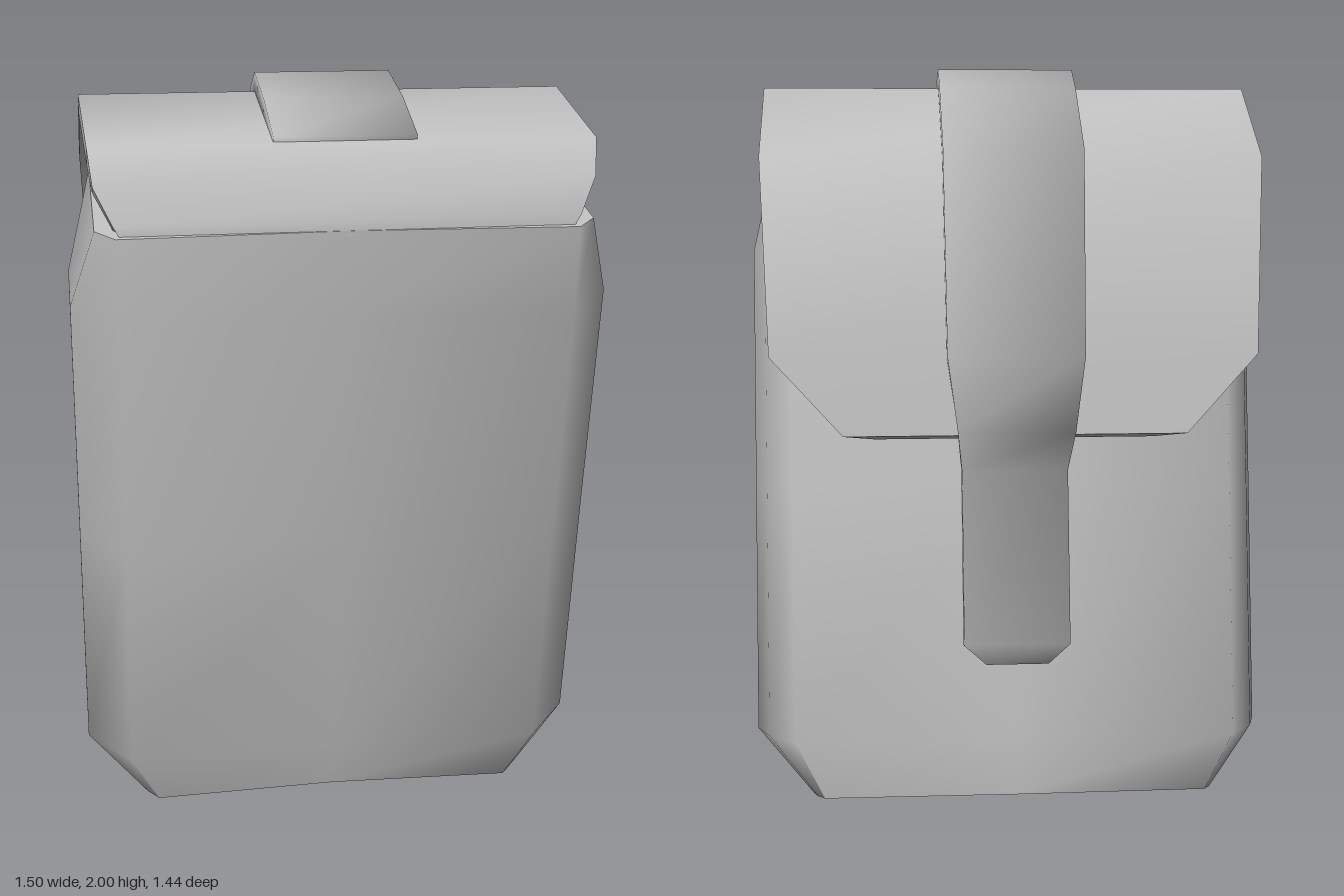
import * as THREE from 'three';
import { toCreasedNormals } from 'three/addons/utils/BufferGeometryUtils.js';

const canvas = new THREE.MeshStandardMaterial({ color: 0xc0c0c0 });
canvas.name = 'plain grey canvas';

// Skin a list of equal-length closed rings and cap both ends
function loft(rings, crease) {
  const n = rings[0].length, last = (rings.length - 1) * n, index = [];
  for (let r = 0; r < rings.length - 1; r++) {
    for (let i = 0; i < n; i++) {
      const a = r * n + i, b = r * n + (i + 1) % n;
      index.push(a, b, b + n, a, b + n, a + n);
    }
  }
  for (let i = 1; i < n - 1; i++) {
    index.push(0, i + 1, i);
    index.push(last, last + i, last + i + 1);
  }
  const geo = new THREE.BufferGeometry();
  geo.setAttribute('position', new THREE.Float32BufferAttribute(rings.flat(2), 3));
  geo.setIndex(index);
  return toCreasedNormals(geo, crease);
}

// Body section: cut back corners, rounder front corners, slightly bulging front
function bodyRing([y, half, front, back, cut, bulge]) {
  const right = [
    [half - cut, y, back], [half, y, back - cut * 1.15],
    [half, y, front + cut * 2.6], [half - cut * 0.35, y, front + cut * 1.2],
    [half - cut, y, front],
  ];
  const left = right.map(([x, h, z]) => [-x, h, z]).reverse();
  return [[0, y, back - 0.015], ...right, [0, y, front - bulge], ...left];
}

// Strip of cloth following [z, y, halfWidth] points, thickened inwards
function band(points, thickness) {
  return points.map(([z, y, w], i) => {
    const p = points[Math.max(i - 1, 0)], q = points[Math.min(i + 1, points.length - 1)];
    const dz = q[0] - p[0], dy = q[1] - p[1], len = Math.hypot(dz, dy);
    const iz = z - (dy / len) * thickness, iy = y + (dz / len) * thickness;
    return [[-w, y, z], [w, y, z], [w, iy, iz], [-w, iy, iz]];
  });
}

function part(name, geometry) {
  const mesh = new THREE.Mesh(geometry, canvas);
  mesh.name = name;
  return mesh;
}

export function createModel() {
  const model = new THREE.Group();
  model.name = 'pouch';

  // Body, leaning back: height, half width, front, back, corner cut, bulge
  const body = part('body', loft([
    [0.03, 0.53, -0.47, 0.175, 0.03, 0.01],
    [0.18, 0.69, -0.495, 0.19, 0.115, 0.02],
    [0.85, 0.69, -0.495, 0.18, 0.115, 0.03],
    [1.50, 0.69, -0.49, 0.18, 0.115, 0.02],
    [1.72, 0.625, -0.48, 0.16, 0.05, 0.01],
  ].map(bodyRing), 1.2));
  body.rotation.x = 0.18;

  // Flap growing out of the back edge, over the top, down the front,
  // with its lower edge tucked in against the body
  const flap = part('flap', loft(band([
    [0.45, 1.655, 0.56], [0.45, 1.69, 0.58], [0.41, 1.78, 0.625],
    [0.37, 1.87, 0.635], [-0.05, 1.95, 0.645], [-0.33, 1.77, 0.645],
    [-0.43, 1.27, 0.625], [-0.46, 1.07, 0.44], [-0.38, 1.05, 0.36],
  ], 0.05), 1.2));

  // Closing strap over the flap, narrowing to a tail on the body front
  const strap = part('strap', loft(band([
    [0.36, 1.885, 0.18], [0.16, 1.955, 0.18], [-0.05, 2.0, 0.18],
    [-0.15, 1.95, 0.18], [-0.365, 1.79, 0.18], [-0.47, 1.27, 0.175],
    [-0.485, 1.08, 0.15], [-0.415, 0.97, 0.137], [-0.50, 0.53, 0.137],
    [-0.505, 0.48, 0.08],
  ], 0.05), Math.PI));

  // The whole pouch stands turned on its base
  const turned = new THREE.Group();
  turned.name = 'turnedPouch';
  turned.rotation.y = 0.652;
  turned.add(body, flap, strap);
  model.add(turned);
  return model;
}
